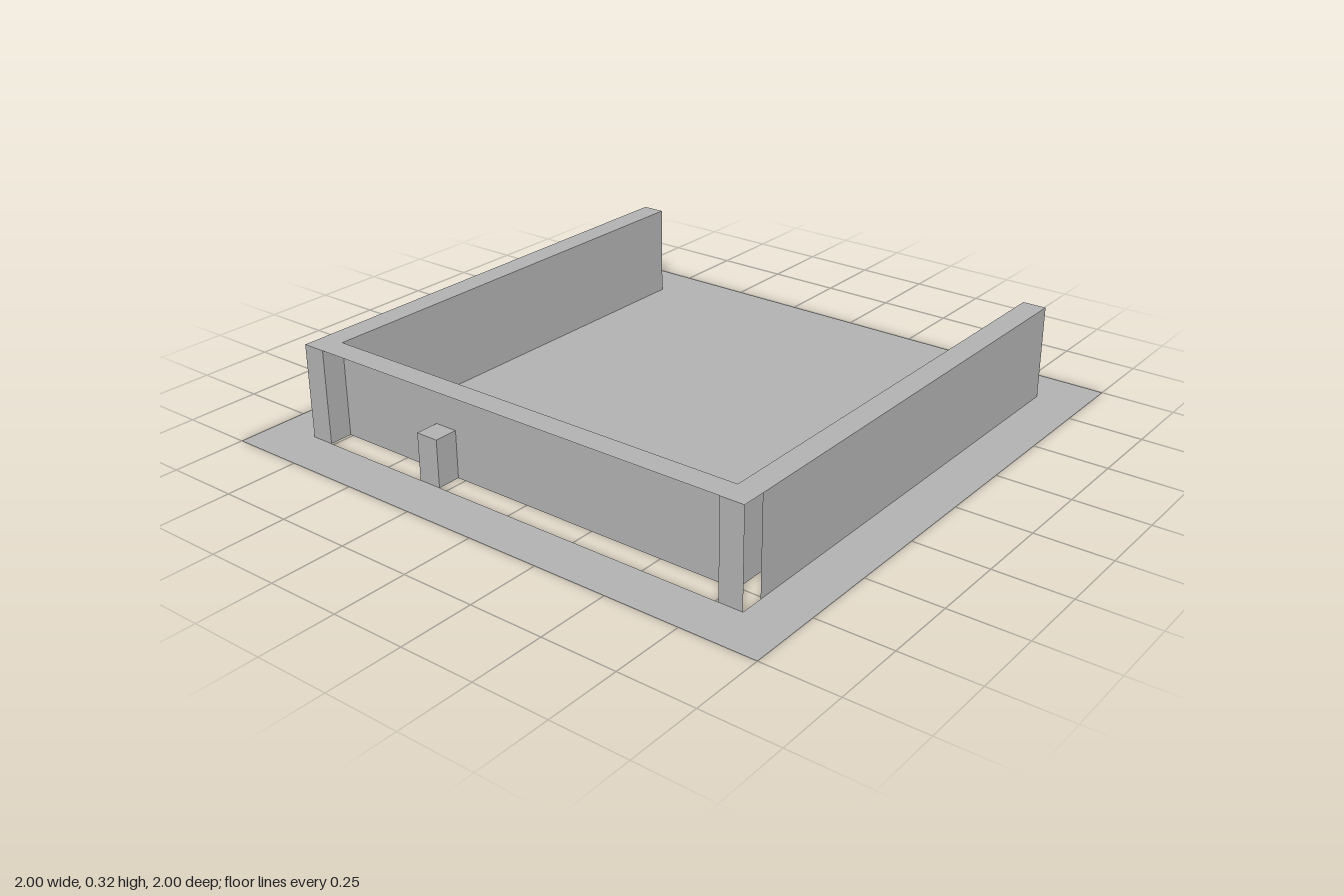
import * as THREE from 'three';

const OUT = 0.84, IN = 0.76, H = 0.32;        // wall outer/inner lines and height
const DOOR_A = -0.36, DOOR_B = -0.28, DOOR_H = 0.16;

export function createModel() {
  const group = new THREE.Group();
  const gray = new THREE.MeshStandardMaterial({ color: 0xb2b2b2, side: THREE.DoubleSide });
  gray.name = 'plain gray';

  const add = (name, geometry) => {
    const mesh = new THREE.Mesh(geometry, gray);
    mesh.name = name;
    group.add(mesh);
    return mesh;
  };
  const points = (list) => list.map(([a, b]) => new THREE.Vector2(a, b));

  // Horizontal sheet facing up, outlined in (x, z)
  const sheet = (name, y, outline, holes = []) => {
    const flip = (list) => points(list.map(([x, z]) => [x, -z]));
    const shape = new THREE.Shape(flip(outline));
    holes.forEach((h) => shape.holes.push(new THREE.Path(flip(h))));
    return add(name, new THREE.ShapeGeometry(shape).rotateX(-Math.PI / 2).translate(0, y, 0));
  };
  // Upright panel across x at depth z, facing dir (+1 front, -1 back)
  const panelZ = (name, x0, x1, z, h, dir) => {
    const g = new THREE.PlaneGeometry(x1 - x0, h);
    if (dir < 0) g.rotateY(Math.PI);
    return add(name, g.translate((x0 + x1) / 2, h / 2, z));
  };
  // Upright panel along z at position x, facing dir (+1 left, -1 right)
  const panelX = (name, x, z0, z1, h, dir) => add(name, new THREE.PlaneGeometry(z1 - z0, h)
    .rotateY(dir * Math.PI / 2).translate(x, h / 2, (z0 + z1) / 2));

  // Floor, open beneath the hollow walls but continuous through the doorway
  sheet('floor', 0, [[-1, 1], [1, 1], [1, -1], [-1, -1]], [
    [[-OUT, -OUT], [-IN, -OUT], [-IN, IN], [DOOR_A, IN], [DOOR_A, OUT], [-OUT, OUT]],
    [[OUT, -OUT], [IN, -OUT], [IN, IN], [DOOR_B, IN], [DOOR_B, OUT], [OUT, OUT]],
  ]);

  // U-shaped wall top
  sheet('wallTop', H, [
    [-OUT, OUT], [OUT, OUT], [OUT, -OUT], [IN, -OUT],
    [IN, IN], [-IN, IN], [-IN, -OUT], [-OUT, -OUT],
  ]);

  // Side walls with end faces; the outer skin stops short of the front corner
  for (const s of [-1, 1]) {
    const side = s > 0 ? 'left' : 'right';
    const x0 = Math.min(s * IN, s * OUT), x1 = Math.max(s * IN, s * OUT);
    panelX(side + 'WallOuter', s * OUT, -OUT, IN, H, s);
    panelX(side + 'WallInner', s * IN, -OUT, OUT, H, -s);
    panelZ(side + 'WallBackEnd', x0, x1, -OUT, H, -1);
    panelZ(side + 'WallFrontEnd', x0, x1, OUT, H, 1);
  }

  // Inner skin of the front wall, cut by the doorway
  const front = new THREE.Shape(points([
    [-IN, 0], [DOOR_A, 0], [DOOR_A, DOOR_H], [DOOR_B, DOOR_H],
    [DOOR_B, 0], [IN, 0], [IN, H], [-IN, H],
  ]));
  add('frontWall', new THREE.ShapeGeometry(front).translate(0, 0, IN));

  // Small doorway niche
  panelX('doorSideRight', DOOR_A, IN, OUT, DOOR_H, -1);
  panelX('doorSideLeft', DOOR_B, IN, OUT, DOOR_H, 1);
  panelZ('doorFront', DOOR_A, DOOR_B, OUT, DOOR_H, 1);
  sheet('doorTop', DOOR_H, [[DOOR_A, OUT], [DOOR_B, OUT], [DOOR_B, IN], [DOOR_A, IN]]);

  return group;
}
